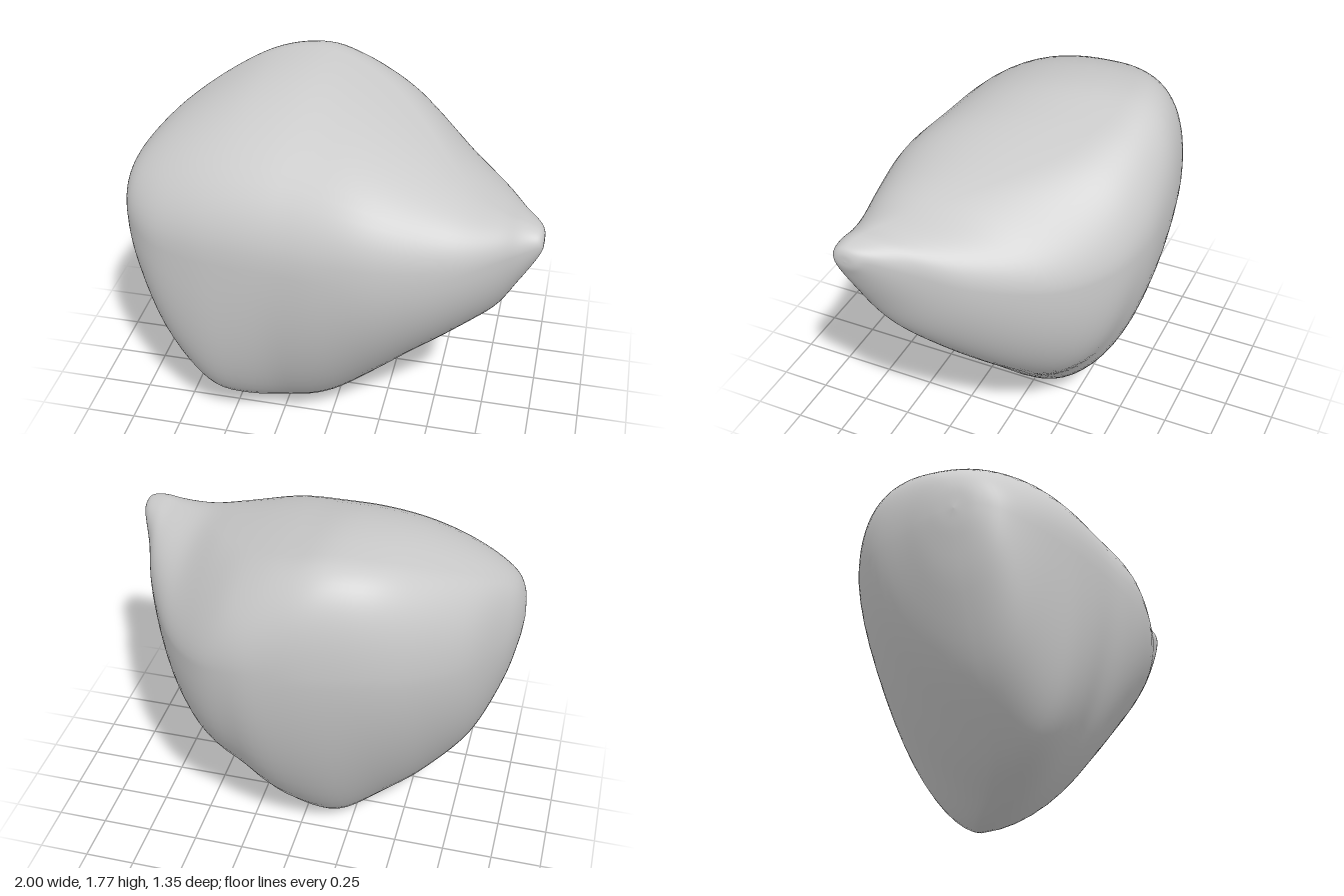
import * as THREE from 'three';

// Cross-sections along x:
// x, bottom y, top y, back z, front z, z of top, z of bottom, y of front, y of back
const SECTIONS = [
  [-1.0, 1.2, 1.2, 0.2, 0.2, 0.2, 0.2, 1.2, 1.2],
  [-0.985, 1.06, 1.33, 0.08, 0.31, 0.18, 0.21, 1.2, 1.2],
  [-0.93, 0.81, 1.44, -0.07, 0.42, 0.1, 0.22, 1.17, 1.2],
  [-0.8, 0.47, 1.56, -0.31, 0.52, -0.06, 0.24, 1.13, 1.23],
  [-0.6, 0.2, 1.675, -0.5, 0.585, -0.23, 0.23, 1.12, 1.27],
  [-0.4, 0.075, 1.75, -0.61, 0.62, -0.35, 0.11, 1.13, 1.3],
  [-0.18, 0.0, 1.772, -0.665, 0.645, -0.39, -0.05, 1.14, 1.3],
  [0.02, 0.07, 1.725, -0.68, 0.667, -0.36, -0.07, 1.14, 1.29],
  [0.22, 0.24, 1.655, -0.66, 0.67, -0.25, -0.06, 1.15, 1.25],
  [0.42, 0.45, 1.57, -0.57, 0.642, -0.04, -0.02, 1.17, 1.2],
  [0.62, 0.66, 1.48, -0.37, 0.595, 0.22, 0.08, 1.21, 1.18],
  [0.8, 0.89, 1.453, -0.07, 0.55, 0.37, 0.25, 1.29, 1.23],
  [0.9, 1.11, 1.45, 0.18, 0.535, 0.42, 0.37, 1.34, 1.31],
  [0.97, 1.27, 1.435, 0.33, 0.515, 0.44, 0.44, 1.37, 1.37],
  [0.995, 1.33, 1.41, 0.39, 0.49, 0.44, 0.44, 1.37, 1.37],
  [1.0, 1.37, 1.37, 0.44, 0.44, 0.44, 0.44, 1.37, 1.37],
];
// Fullness of each quarter along x: x, top front, top back, bottom front, bottom back
const FULLNESS = [
  [-1.0, 2.1, 2.1, 2.4, 1.8],
  [-0.6, 2.3, 2.4, 2.75, 1.6],
  [-0.18, 2.25, 2.5, 2.1, 1.55],
  [0.22, 2.6, 2.15, 1.95, 1.8],
  [0.5, 2.5, 1.9, 2.0, 2.3],
  [0.9, 2, 2, 2, 2],
  [1.0, 2, 2, 2, 2],
];
const STEPS = 5; // rings per section
const AROUND = 64; // points per ring

// Catmull-Rom blend of all section values
function sectionAt(t) {
  const i = Math.min(Math.floor(t), SECTIONS.length - 2);
  const f = t - i, f2 = f * f, f3 = f2 * f;
  const p0 = SECTIONS[i - 1], p1 = SECTIONS[i], p2 = SECTIONS[i + 1], p3 = SECTIONS[i + 2];
  return p1.map((a, k) => {
    const b = p2[k];
    const m1 = p0 ? (b - p0[k]) / 2 : b - a;
    const m2 = p3 ? (p3[k] - a) / 2 : b - a;
    return (2 * f3 - 3 * f2 + 1) * a + (f3 - 2 * f2 + f) * m1 + (3 * f2 - 2 * f3) * b + (f3 - f2) * m2;
  });
}

// Smooth blend of the fullness values at x
function fullnessAt(x) {
  let i = 0;
  while (i < FULLNESS.length - 2 && x > FULLNESS[i + 1][0]) i++;
  const a = FULLNESS[i], b = FULLNESS[i + 1];
  const f = THREE.MathUtils.smoothstep(x, a[0], b[0]);
  return a.map((v, k) => THREE.MathUtils.lerp(v, b[k], f));
}

// Four superellipse quarters joined at the top, front, bottom and back
function ringPoint([x, y0, y1, z0, z1, zt, zb, yf, yk], fullness, angle) {
  const s = Math.sin(angle), c = Math.cos(angle);
  const front = s >= 0, top = c >= 0;
  const n = fullness[(top ? 1 : 3) + (front ? 0 : 1)];
  const u = Math.abs(s) ** (2 / n), v = Math.abs(c) ** (2 / n);
  const zc = top ? zt : zb, yc = front ? yf : yk;
  return [x, yc + ((top ? y1 : y0) - yc) * v, zc + ((front ? z1 : z0) - zc) * u];
}

export function createModel() {
  const group = new THREE.Group();
  group.name = 'stone';

  const rings = (SECTIONS.length - 1) * STEPS;
  const positions = [], index = [];
  for (let i = 0; i <= rings; i++) {
    const section = sectionAt(i / STEPS);
    const fullness = fullnessAt(section[0]);
    for (let j = 0; j < AROUND; j++) {
      positions.push(...ringPoint(section, fullness, (j / AROUND) * Math.PI * 2));
    }
  }
  // Skin between rings; the first and last rings are single points
  for (let i = 0; i < rings; i++) {
    for (let j = 0; j < AROUND; j++) {
      const a = i * AROUND + j, b = i * AROUND + ((j + 1) % AROUND);
      const c = a + AROUND, d = b + AROUND;
      if (i > 0) index.push(a, b, c);
      if (i < rings - 1) index.push(b, d, c);
    }
  }

  const geometry = new THREE.BufferGeometry();
  geometry.setAttribute('position', new THREE.Float32BufferAttribute(positions, 3));
  geometry.setIndex(index);
  geometry.computeVertexNormals();

  const body = new THREE.Mesh(geometry, new THREE.MeshStandardMaterial({ color: 0xcccccc }));
  body.name = 'stoneBody';
  group.add(body);
  return group;
}
